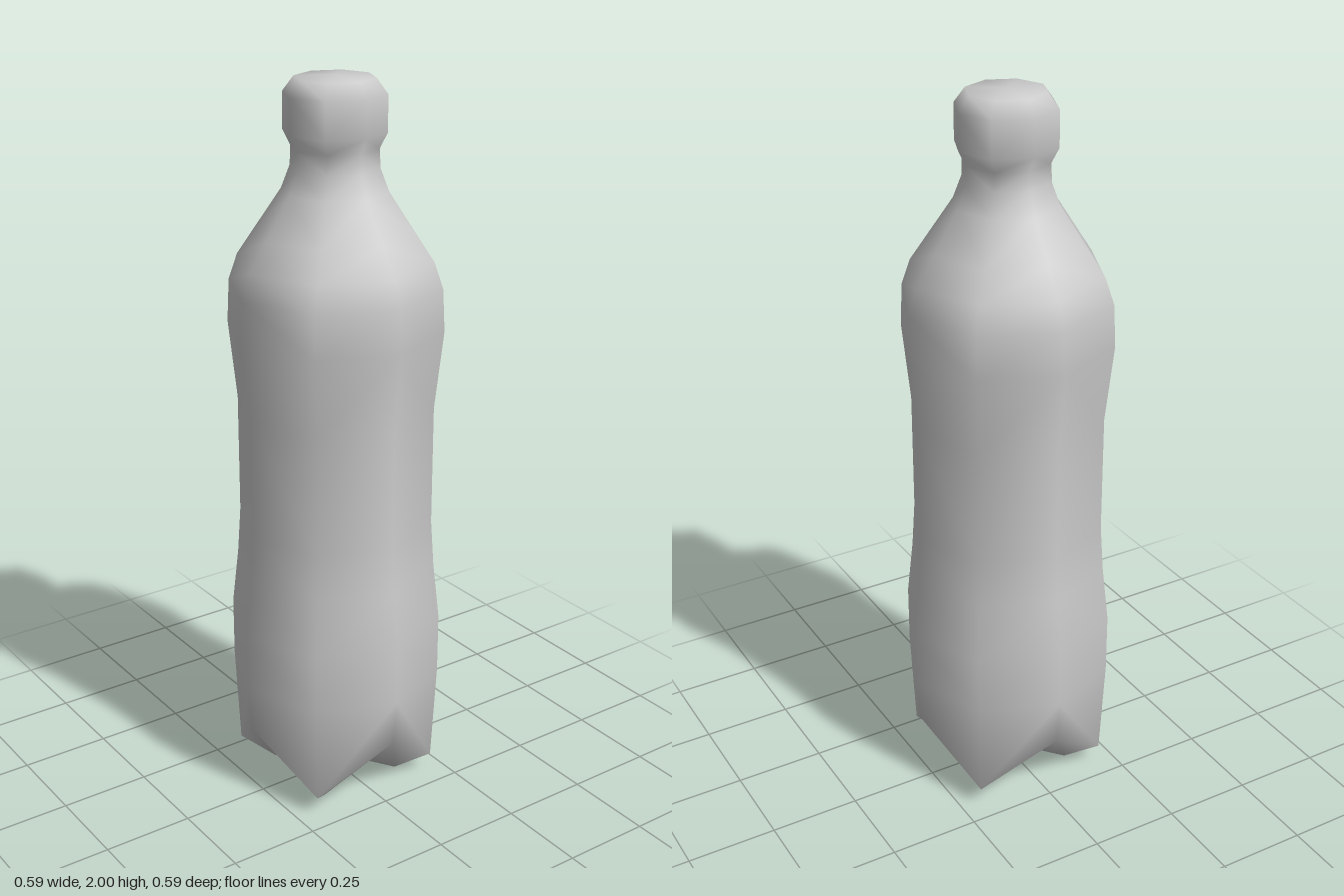
import * as THREE from 'three';

const SIDES = 8;

// Rings from the underside up: [radius, y] on the axes, then [radius, y] on the diagonals if different.
const RINGS = [
  [0.14, 0.09, 0.177, 0.003], // valleys between the four feet, and the feet
  [0.28, 0.21, 0.28, 0.06], // zigzag rim above the feet
  [0.294, 0.345], [0.294, 0.51], [0.276, 0.67], [0.267, 0.8], // lower body
  [0.267, 1.13], [0.29, 1.345], [0.284, 1.46], [0.26, 1.53], // waist and shoulder
  [0.21, 1.605], [0.14, 1.71], [0.117, 1.77], [0.115, 1.82], // neck
  [0.135, 1.86], [0.135, 1.955], [0.105, 1.995], // cap
];

// Lofts the rings into one smooth closed surface, with a centre point at each end.
function loft(rings, bottomY, topY) {
  const positions = [];
  const index = [];
  rings.forEach(([r, y, rDiag = r, yDiag = y]) => {
    for (let j = 0; j < SIDES; j++) {
      const a = (j / SIDES) * Math.PI * 2;
      const radius = j % 2 ? rDiag : r;
      positions.push(Math.sin(a) * radius, j % 2 ? yDiag : y, Math.cos(a) * radius);
    }
  });
  const bottom = rings.length * SIDES;
  const top = bottom + 1;
  positions.push(0, bottomY, 0, 0, topY, 0);

  for (let j = 0; j < SIDES; j++) {
    const k = (j + 1) % SIDES;
    for (let i = 0; i < rings.length - 1; i++) {
      const a = i * SIDES + j, b = i * SIDES + k;
      const c = b + SIDES, d = a + SIDES;
      // Alternate the diagonals so that every foot is symmetric
      if (j % 2) index.push(a, b, c, a, c, d);
      else index.push(a, b, d, b, c, d);
    }
    const last = (rings.length - 1) * SIDES;
    index.push(bottom, k, j, top, last + j, last + k);
  }

  const geometry = new THREE.BufferGeometry();
  geometry.setAttribute('position', new THREE.Float32BufferAttribute(positions, 3));
  geometry.setIndex(index);
  geometry.computeVertexNormals();
  return geometry;
}

export function createModel() {
  const group = new THREE.Group();
  group.name = 'bottle';
  const material = new THREE.MeshStandardMaterial({ color: 0xcccccc });

  // Body, neck and cap are one continuous skin
  const body = new THREE.Mesh(loft(RINGS, 0.03, 2), material);
  body.name = 'bottleBody';
  group.add(body);
  return group;
}
